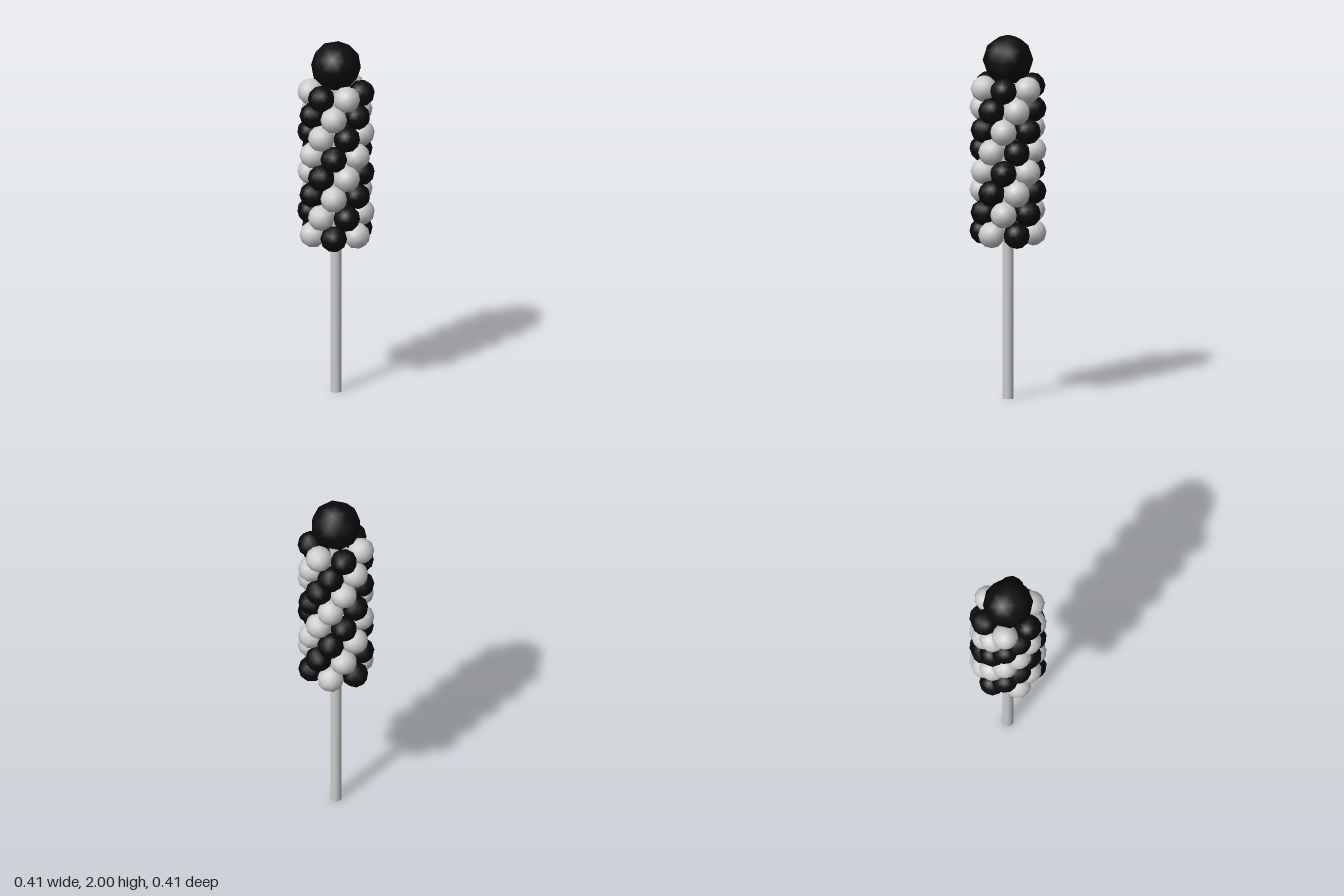
import * as THREE from 'three';

export function createModel() {
  const model = new THREE.Group();
  const light = new THREE.MeshStandardMaterial({ color: 0xcccccc });
  const dark = new THREE.MeshStandardMaterial({ color: 0x0a0a0a });

  // Smooth low-poly ball, turned so that a vertex sits at the top
  const ballGeometry = (radius) => {
    const g = new THREE.IcosahedronGeometry(radius, 1);
    g.rotateX(-Math.atan((1 + Math.sqrt(5)) / 2));
    return g;
  };

  const add = (parent, name, geometry, material, y) => {
    const mesh = new THREE.Mesh(geometry, material);
    mesh.name = name;
    mesh.position.y = y;
    parent.add(mesh);
    return mesh;
  };

  // Stick running from the ground up into the top ball
  add(model, 'stick', new THREE.CylinderGeometry(0.03, 0.03, 1.8, 16), light, 0.9);

  // Rings of six balls; each ring turns by half a step so the colours spiral
  const spiral = new THREE.Group();
  spiral.name = 'spiralBalls';
  model.add(spiral);
  const rows = 8, perRow = 6, ringRadius = 0.138;
  const small = ballGeometry(0.073);
  for (let row = 0; row < rows; row++) {
    for (let i = 0; i < perRow; i++) {
      const angle = (i * 2 - row) * Math.PI / perRow;
      const isLight = i % 2 === 0;
      const ball = add(spiral, isLight ? 'lightBall' : 'darkBall', small,
        isLight ? light : dark, 1.712 - row * 0.1134);
      ball.position.x = Math.sin(angle) * ringRadius;
      ball.position.z = Math.cos(angle) * ringRadius;
      ball.rotation.y = angle;
    }
  }

  // Large ball on top
  add(model, 'topBall', ballGeometry(0.137), dark, 1.863);

  return model;
}
